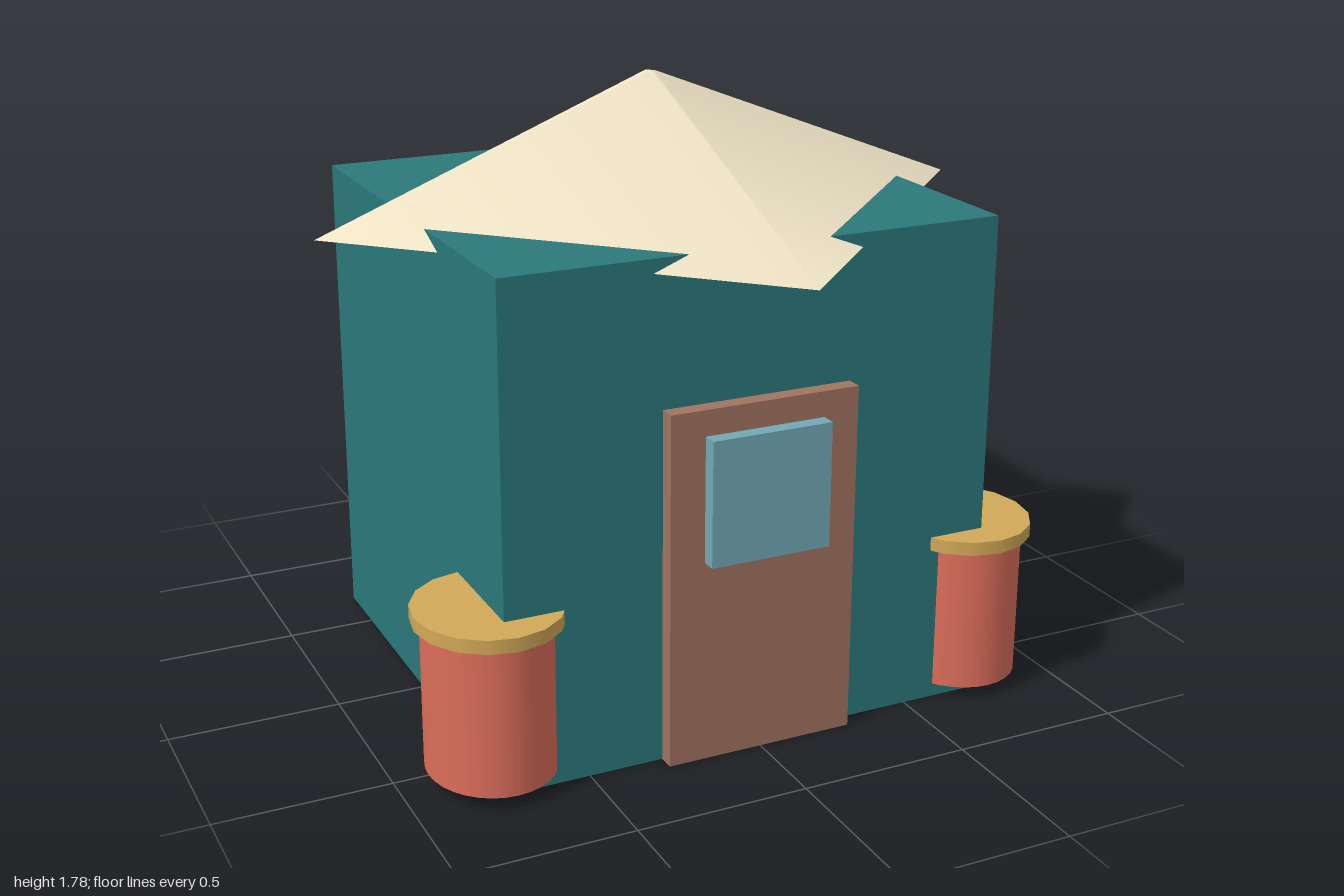
import * as THREE from 'three';

const mat = (color) => new THREE.MeshStandardMaterial({ color });
const teal = mat(0x2b787b), cream = mat(0xf0e4c6), red = mat(0xdb6d5a);
const ochre = mat(0xd1a857), brown = mat(0xa07360), glass = mat(0x72a9b6);

export function createModel() {
  const group = new THREE.Group();

  const add = (name, geometry, material, x, y, z) => {
    const mesh = new THREE.Mesh(geometry, material);
    mesh.name = name;
    mesh.position.set(x, y, z);
    group.add(mesh);
    return mesh;
  };

  // Box given by its minimum and maximum corners
  const box = (name, material, [x0, y0, z0], [x1, y1, z1]) =>
    add(name, new THREE.BoxGeometry(x1 - x0, y1 - y0, z1 - z0), material,
      (x0 + x1) / 2, (y0 + y1) / 2, (z0 + z1) / 2);

  // Hut body, door and window
  box('walls', teal, [-0.74, 0, -0.69], [0.74, 1.44, 0.69]);
  box('door', brown, [-0.282, 0, 0.66], [0.282, 1.027, 0.738]);
  box('window', glass, [-0.18, 0.592, 0.72], [0.178, 0.953, 0.782]);

  // Four-sided roof with its corners over the wall centres
  add('roof', new THREE.CylinderGeometry(0.02, 1, 0.385, 4), cream, 0, 1.5925, 0);

  // Slightly oval barrels at the two front corners
  for (const [side, s] of [['left', 1], ['right', -1]]) {
    add(side + 'Barrel', new THREE.CylinderGeometry(1, 1, 0.43, 32), red, s * 0.739, 0.255, 0.566)
      .scale.set(0.181, 1, 0.203);
    add(side + 'BarrelLid', new THREE.CylinderGeometry(1, 1, 0.04, 16), ochre, s * 0.738, 0.49, 0.566)
      .scale.set(0.208, 1, 0.227);
  }

  // Broom leaning outwards at the back left corner
  box('broomHead', ochre, [0.53, 0.04, -0.73], [0.91, 0.168, -0.603]);
  const bottom = new THREE.Vector3(0.73, 0.1, -0.665);
  const top = new THREE.Vector3(0.87, 1.18, -0.665);
  const axis = top.clone().sub(bottom);
  const centre = bottom.clone().add(top).multiplyScalar(0.5);
  add('broomHandle', new THREE.CylinderGeometry(0.021, 0.021, axis.length(), 12), brown, ...centre.toArray())
    .rotation.z = -Math.atan2(axis.x, axis.y);

  return group;
}
